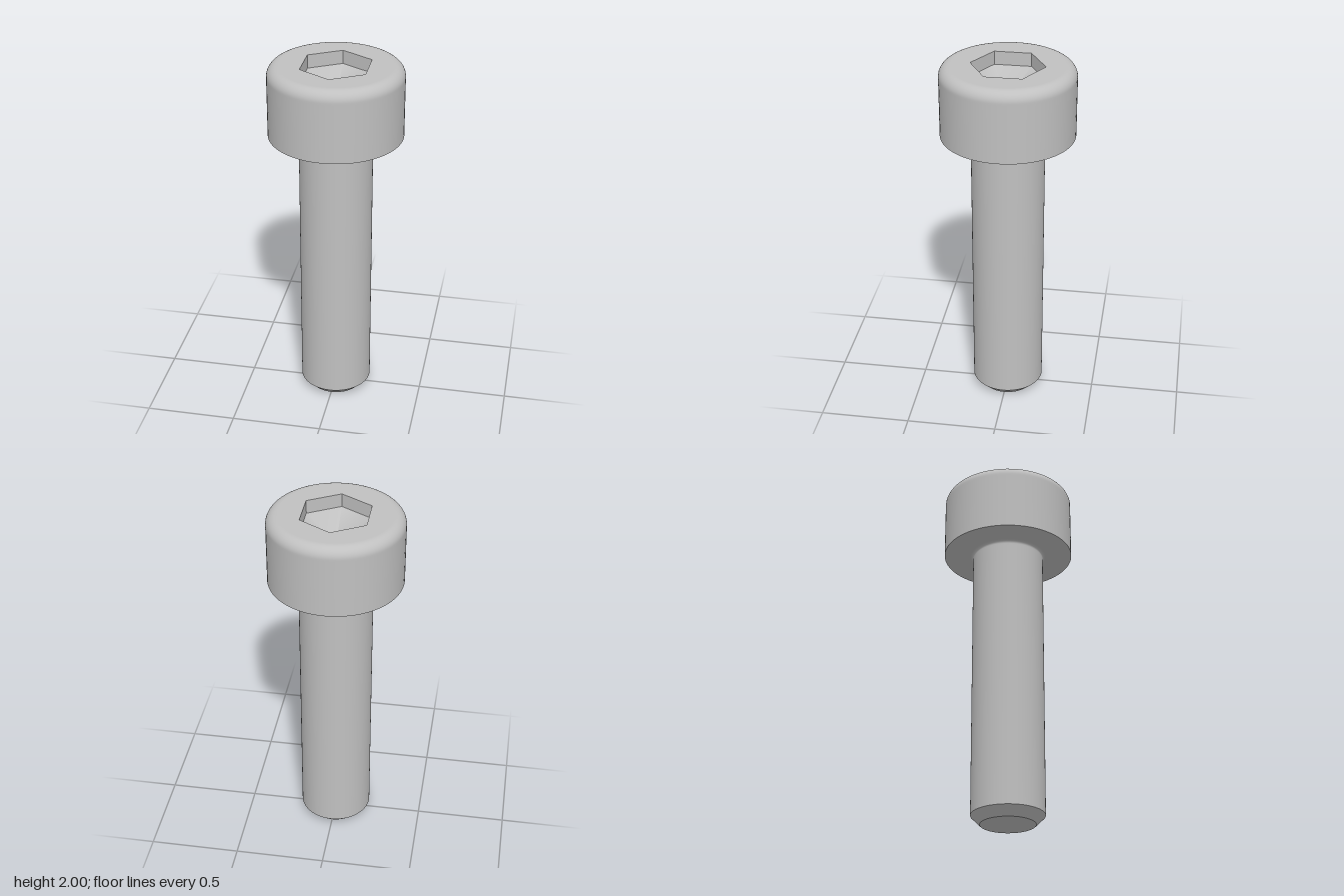
import * as THREE from 'three';

const SEGMENTS = 72;
const HEAD_R = 0.365, HEAD_BASE = 1.605, TOP = 2, ROUND = 0.06;
const SHANK_R = 0.2, FILLET = 0.02, CHAMFER = 0.05;
const SOCKET_R = 0.2, WALL_BASE = 1.925, SOCKET_TIP = 1.81;

export function createModel() {
  const group = new THREE.Group();
  const steel = new THREE.MeshStandardMaterial({ color: 0xc0c0c0 });
  steel.name = 'steel';

  const add = (name, geometry) => {
    const mesh = new THREE.Mesh(geometry, steel);
    mesh.name = name;
    group.add(mesh);
    return mesh;
  };
  // Each smooth band is its own lathe, so edges between bands stay sharp
  const lathe = (points, segments = SEGMENTS) =>
    new THREE.LatheGeometry(points.map(([r, y]) => new THREE.Vector2(r, y)), segments);
  // Points along a circular arc in the profile plane
  const arc = (cx, cy, r, from, to, steps = 8) =>
    Array.from({ length: steps + 1 }, (_, i) => {
      const a = from + ((to - from) * i) / steps;
      return [cx + r * Math.cos(a), cy + r * Math.sin(a)];
    });

  // Shank with chamfered tip and a small fillet under the head
  add('tipFace', lathe([[0, 0], [SHANK_R - CHAMFER, 0]]));
  add('tipChamfer', lathe([[SHANK_R - CHAMFER, 0], [SHANK_R, CHAMFER]]));
  add('shank', lathe([
    [SHANK_R, CHAMFER],
    [SHANK_R, HEAD_BASE - FILLET - 0.01],
    ...arc(SHANK_R + FILLET, HEAD_BASE - FILLET, FILLET, Math.PI, Math.PI / 2),
  ]));

  // Head: flat underside, straight side, rounded upper edge
  add('headUnderside', lathe([[SHANK_R + FILLET, HEAD_BASE], [HEAD_R, HEAD_BASE]]));
  add('headSide', lathe([
    [HEAD_R, HEAD_BASE],
    [HEAD_R, TOP - ROUND - 0.01],
    ...arc(HEAD_R - ROUND, TOP - ROUND, ROUND, 0, Math.PI / 2, 12),
  ]));

  // Flat top with a hexagonal opening
  const ring = (r, n) => Array.from({ length: n }, (_, i) => {
    const a = (i / n) * Math.PI * 2;
    return new THREE.Vector2(r * Math.sin(a), r * Math.cos(a));
  });
  const face = new THREE.Shape(ring(HEAD_R - ROUND, SEGMENTS));
  face.holes.push(new THREE.Path(ring(SOCKET_R, 6)));
  const topGeometry = new THREE.ShapeGeometry(face);
  topGeometry.rotateX(-Math.PI / 2).translate(0, TOP, 0);
  add('headTop', topGeometry);

  // Hex socket: flat walls and a tapered bottom
  const walls = lathe([[SOCKET_R, TOP], [SOCKET_R, WALL_BASE]], 6).toNonIndexed();
  walls.computeVertexNormals();
  add('socketWalls', walls);
  add('socketBottom', lathe([[SOCKET_R, WALL_BASE], [0, SOCKET_TIP]], 6));

  return group;
}
